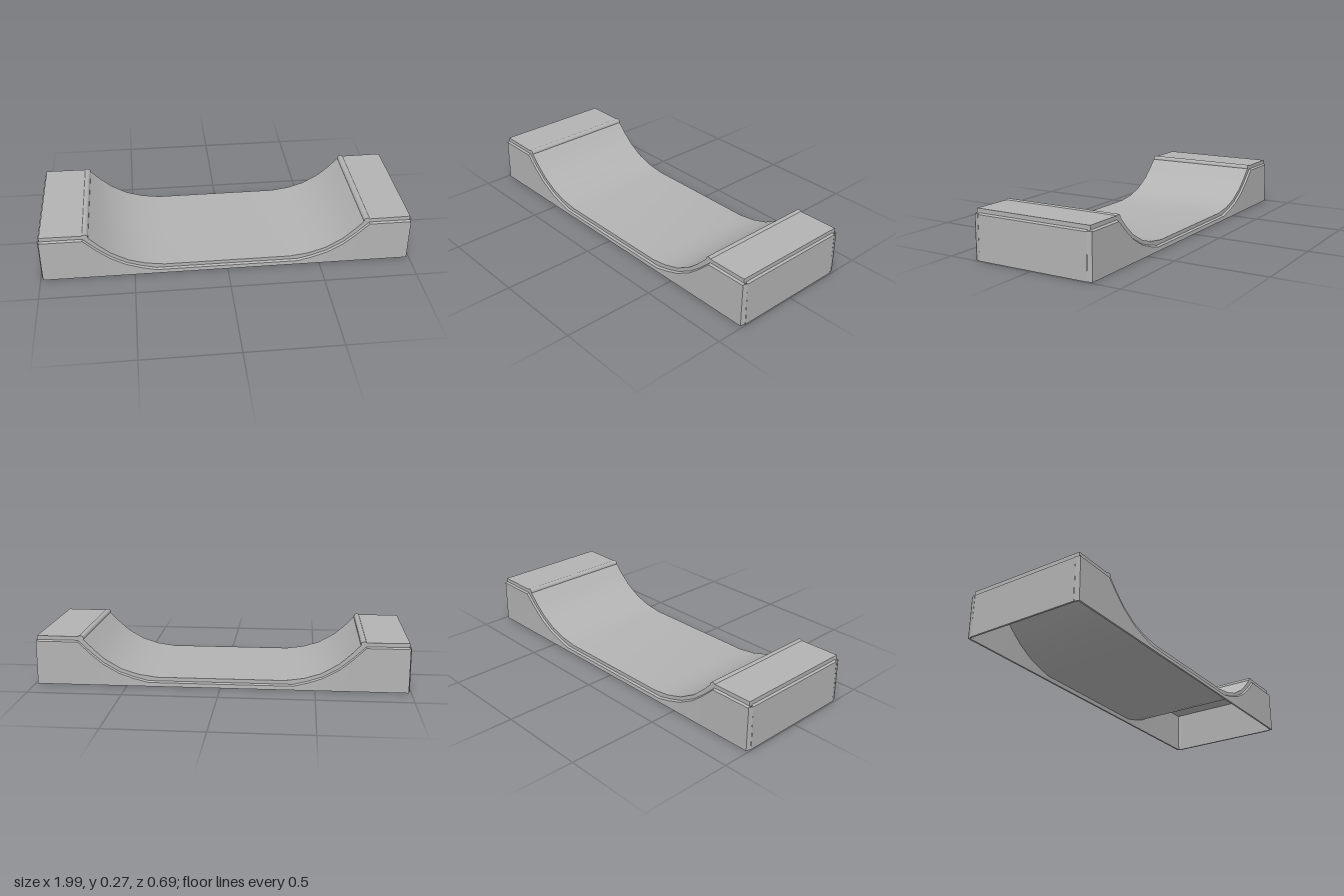
import * as THREE from 'three';
import { toCreasedNormals } from 'three/addons/utils/BufferGeometryUtils.js';

const grey = new THREE.MeshStandardMaterial({ color: 0xb3b3b3, side: THREE.DoubleSide });
grey.name = 'concrete grey';

// Mirrors the right half of a profile into a full left-to-right list
const mirrored = (half) => [...half.map(([x, y]) => [-x, y]).reverse(), ...half];

// Riding surface (centre to right end) and the lower edge line on the side walls
const surface = mirrored([[0.34, 0.048], [0.44, 0.062], [0.53, 0.09], [0.62, 0.142],
  [0.68, 0.195], [0.745, 0.262], [0.982, 0.264]]);
const edge = mirrored([[0.385, 0.028], [0.46, 0.047], [0.54, 0.074], [0.625, 0.122],
  [0.69, 0.175], [0.76, 0.242], [0.987, 0.242]]);

// Thin upright wall whose top follows a profile, with a slight draft and a bevelled rim
function wallGeometry(profile, depth) {
  const pos = [], index = [];
  for (const [x, top] of profile) {
    pos.push(x, 0, depth, x, top - 0.007, depth - 0.002, x, top, depth - 0.013, x, 0, depth - 0.01);
  }
  for (let i = 0; i < profile.length - 1; i++) {
    for (let r = 0; r < 4; r++) {
      const a = i * 4 + r, b = i * 4 + (r + 1) % 4;
      index.push(a, a + 4, b + 4, a, b + 4, b);
    }
  }
  const g = new THREE.BufferGeometry();
  g.setAttribute('position', new THREE.Float32BufferAttribute(pos, 3));
  g.setIndex(index);
  return toCreasedNormals(g, 0.4);
}

export function createModel() {
  const model = new THREE.Group();
  model.name = 'halfPipeRamp';
  const add = (name, geometry) => {
    const mesh = new THREE.Mesh(geometry, grey);
    mesh.name = name;
    model.add(mesh);
    return mesh;
  };

  // Curved deck skin, hollow below
  const under = edge.map(([x, y]) => [Math.sign(x) * Math.min(Math.abs(x), 0.982), y - 0.005]);
  const outline = [...under, ...surface.slice().reverse()].map(([x, y]) => new THREE.Vector2(x, y));
  const skin = new THREE.ExtrudeGeometry(new THREE.Shape(outline), { depth: 0.664, bevelEnabled: false });
  skin.translate(0, 0, -0.332);
  add('ridingSurface', toCreasedNormals(skin, 0.4));

  // Long side walls
  const side = wallGeometry(edge, 0.345);
  add('frontWall', side);
  add('backWall', side).rotation.y = Math.PI;

  // End walls
  const end = wallGeometry([[-0.318, 0.242], [0.318, 0.242]], 0.995);
  add('leftEndWall', end).rotation.y = Math.PI / 2;
  add('rightEndWall', end).rotation.y = -Math.PI / 2;

  for (const sx of [-1, 1]) {
    // Rounded coping along each lip
    const coping = add('coping', new THREE.CylinderGeometry(0.018, 0.018, 0.664, 12));
    coping.rotation.x = Math.PI / 2;
    coping.position.set(sx * 0.748, 0.25, 0);
    // Chamfered corner strips
    for (const sz of [-1, 1]) {
      const corner = add('cornerStrip', new THREE.BoxGeometry(0.006, 0.238, 0.0255));
      corner.position.set(sx * 0.987, 0.119, sz * 0.33);
      corner.rotation.y = -sx * sz * 0.32;
    }
  }
  return model;
}
